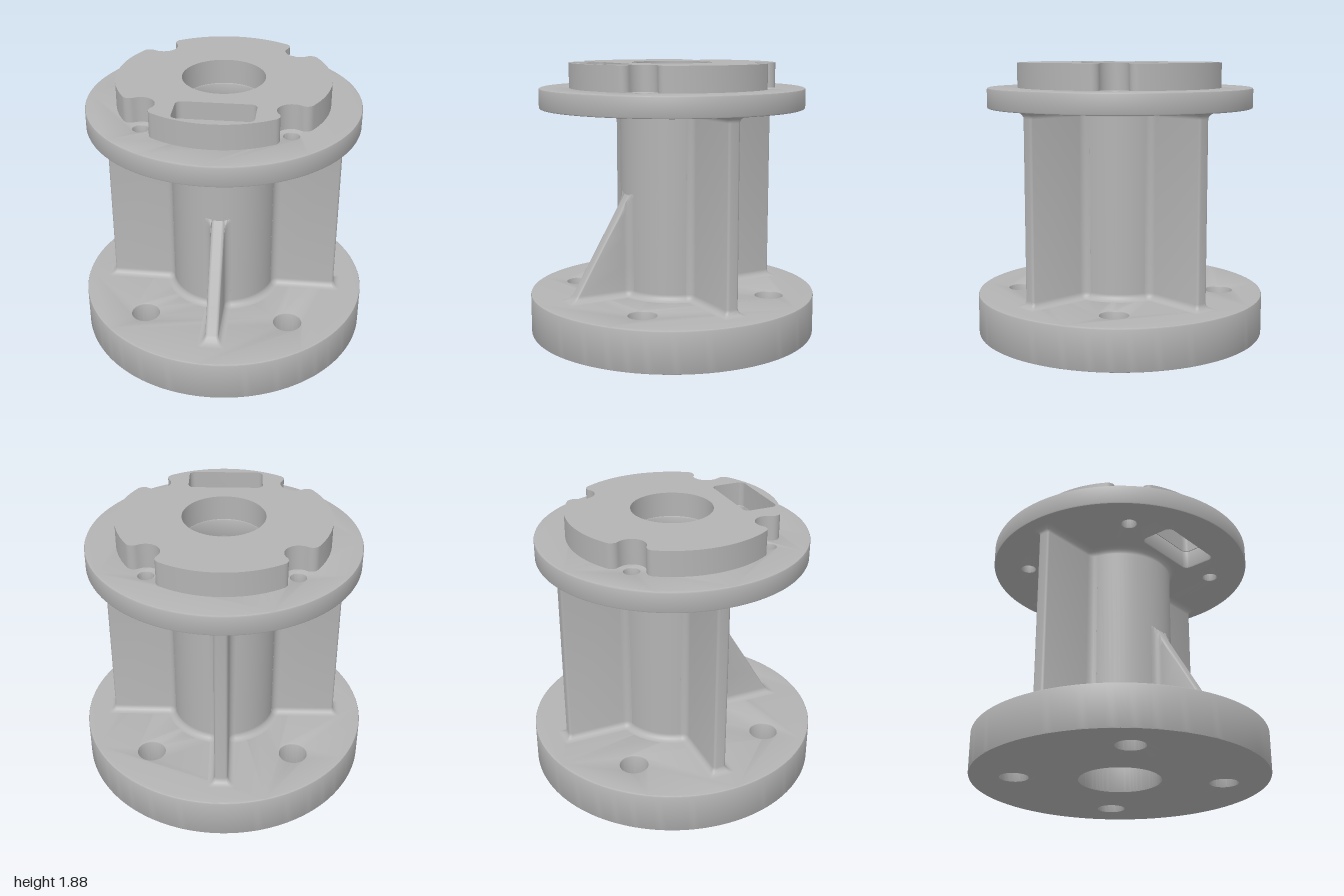
import * as THREE from 'three';
import { toCreasedNormals } from 'three/addons/utils/BufferGeometryUtils.js';

const BORE = 0.275, COLUMN = 0.36, RIB = 0.045, ROOT = 0.055, FLARE = 0.045;
const Y0 = 0.285, Y1 = 1.575, Y2 = 1.715, Y3 = 1.885;

const circle = (x, y, r) => new THREE.Path().absarc(x, y, r, 0, Math.PI * 2, true);
const around = (d, r) => [0, 1, 2, 3].map(i =>
  circle(d * Math.cos(i * Math.PI / 2), d * Math.sin(i * Math.PI / 2), r));

// Horizontal plate from a plan shape, between two heights, with a small edge bevel
function plate(shape, holes, y0, y1, b) {
  shape.holes.push(...holes);
  const g = new THREE.ExtrudeGeometry(shape, {
    depth: y1 - y0 - 2 * b, curveSegments: 72, bevelEnabled: b > 0,
    bevelSize: b, bevelThickness: b, bevelOffset: -b, bevelSegments: 2,
  });
  g.rotateX(-Math.PI / 2).translate(0, y0 + b, 0);
  return toCreasedNormals(g, 0.5);
}

// Rounded rectangular opening above the sloping rib
function windowPath() {
  const a = 0.41, b = 0.65, h = 0.255, r = 0.04, pts = [];
  [[b - r, h - r], [a + r, h - r], [a + r, r - h], [b - r, r - h]].forEach(([u, v], i) => {
    for (let k = 0; k <= 6; k++) {
      const t = (i + k / 6) * Math.PI / 2;
      pts.push(new THREE.Vector2(u + r * Math.cos(t), v + r * Math.sin(t))
        .rotateAround(new THREE.Vector2(), Math.PI * 1.25));
    }
  });
  return new THREE.Path(pts);
}

// Raised disc outline with four rounded notches
function pilotShape() {
  const R = 0.708, d = 0.667, n = 0.095, f = 0.05, pts = [];
  const cy = ((R - f) ** 2 + d * d - (n + f) ** 2) / (2 * d);
  const cx = Math.sqrt((R - f) ** 2 - cy * cy);
  const meet = Math.atan2(cy - d, cx), out = Math.atan2(cy, cx);
  const arc = (x, y, r, a0, a1, q, steps) => {
    for (let k = 0; k <= steps; k++) {
      const a = a0 + (a1 - a0) * k / steps;
      pts.push(new THREE.Vector2(x + r * Math.cos(a), y + r * Math.sin(a))
        .rotateAround(new THREE.Vector2(), q * Math.PI / 2));
    }
  };
  for (let q = 0; q < 4; q++) {
    arc(cx, cy, f, out, Math.PI + meet, q, 8);
    arc(0, d, n, meet, -Math.PI - meet, q, 16);
    arc(-cx, cy, f, -meet, Math.PI - out, q, 8);
    arc(0, 0, R, Math.PI - out + 0.02, Math.PI / 2 + out - 0.02, q, 24);
  }
  return new THREE.Shape(pts);
}

// Outward growth of a fillet at distance h from a plate
const flare = h => h >= FLARE ? 0 : FLARE - Math.sqrt(FLARE ** 2 - (FLARE - h) ** 2);
const steps = [0, 0.03, 0.12, 0.27, 0.5, 0.75, 1].map(s => s * FLARE);

// Rib plan section: root fillets against the column and a rounded tip
function ribSection(tip, d) {
  const R = COLUMN + d, t = RIB + d, f = ROOT - d, c = 0.02, half = [];
  const rc = Math.sqrt((R + f) ** 2 - (t + f) ** 2), a = Math.atan2(t + f, rc);
  half.push([0.3, R * Math.sin(a)]);
  for (let k = 0; k <= 6; k++) {
    const w = Math.PI + a + (Math.PI / 2 - a) * k / 6;
    half.push([rc + f * Math.cos(w), t + f + f * Math.sin(w)]);
  }
  for (let k = 0; k <= 5; k++) {
    const w = Math.PI / 2 * (1 - k / 5);
    half.push([tip + d - c + c * Math.cos(w), t - c + c * Math.sin(w)]);
  }
  const clipped = half.map(([x, z]) => [Math.min(x, tip + d), z]);
  return [...clipped, ...clipped.slice().reverse().map(([x, z]) => [x, -z])];
}

// Skin a stack of rib sections
function ribGeometry(levels) {
  const pos = [], idx = [];
  let n = 0;
  for (const [y, tip, d] of levels) {
    const s = ribSection(tip, d);
    n = s.length;
    for (const [x, z] of s) pos.push(x, y, z);
  }
  for (let j = 0; j < levels.length - 1; j++)
    for (let i = 0; i < n - 1; i++) {
      const a = j * n + i, b = a + 1;
      idx.push(a, b, b + n, a, b + n, a + n);
    }
  const g = new THREE.BufferGeometry();
  g.setAttribute('position', new THREE.Float32BufferAttribute(pos, 3));
  g.setIndex(idx);
  return toCreasedNormals(g, 0.6);
}

export function createModel() {
  const group = new THREE.Group();
  const metal = new THREE.MeshStandardMaterial({ color: 0xb3b3b3 });
  metal.name = 'grey metal';
  const add = (name, geometry, turn = 0) => {
    const m = new THREE.Mesh(geometry, metal);
    m.name = name;
    m.rotation.y = turn;
    group.add(m);
  };
  const disc = r => new THREE.Shape().absarc(0, 0, r, 0, Math.PI * 2, false);

  // Flanges and raised notched disc
  add('baseFlange', plate(disc(1), [circle(0, 0, BORE), ...around(0.7, 0.095)], 0, Y0, 0.01));
  add('topFlange', plate(disc(0.915),
    [circle(0, 0, BORE), ...around(0.667, 0.05), windowPath()], Y1, Y2, 0.01));
  add('raisedDisc', plate(pilotShape(), [circle(0, 0, BORE), windowPath()], Y2, Y3, 0));

  // Hollow column with filleted ends
  const outer = [
    ...steps.map(h => new THREE.Vector2(COLUMN + flare(h), Y0 + h)),
    ...steps.slice().reverse().map(h => new THREE.Vector2(COLUMN + flare(h), Y1 - h)),
  ];
  add('column', new THREE.LatheGeometry(outer, 72));
  add('bore', new THREE.LatheGeometry(
    [new THREE.Vector2(BORE, Y1 + 0.01), new THREE.Vector2(BORE, Y0 - 0.01)], 72));

  // Three full-height ribs
  const full = [
    ...steps.map(h => [Y0 + h, 0.803, flare(h)]),
    ...steps.slice().reverse().map(h => [Y1 - h, 0.803, flare(h)]),
  ];
  [1, 3, 7].forEach(k => add('rib', ribGeometry(full), k * Math.PI / 4));

  // Sloping rib under the opening
  const slope = y => 0.78 - (y - Y0) * 0.595;
  const short = [...steps.map(h => Y0 + h), 0.5, 0.7, 0.85, 0.9, 0.94, 0.97, 1, 1.04]
    .map(y => [y, slope(y), flare(y - Y0)]);
  add('slopingRib', ribGeometry(short), 5 * Math.PI / 4);

  return group;
}
